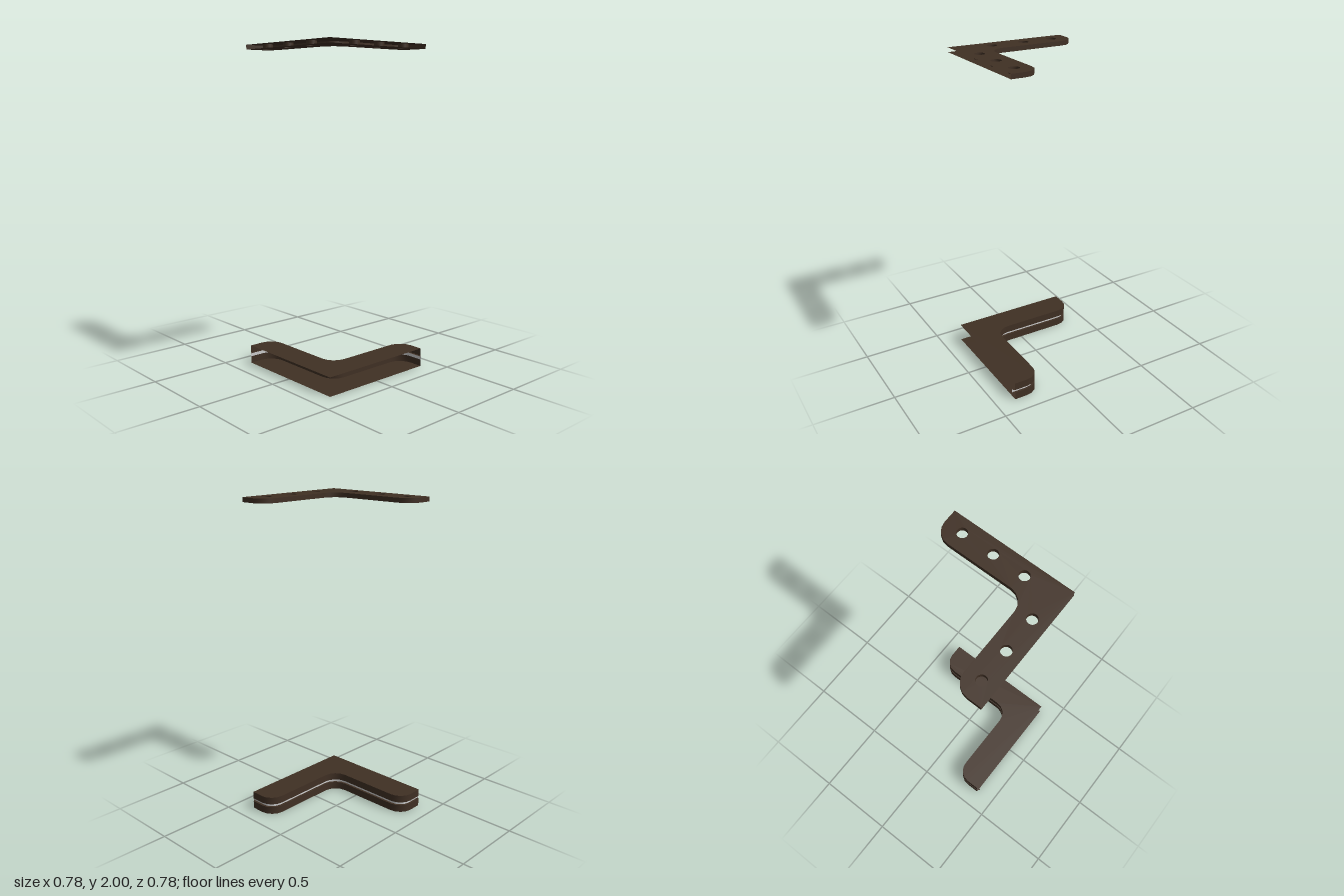
import * as THREE from 'three';

const brown = new THREE.MeshStandardMaterial({ color: 0x403024, side: THREE.DoubleSide });
const grey = new THREE.MeshStandardMaterial({ color: 0xcccccc, side: THREE.DoubleSide });

const TIP = -0.39, INNER = 0.198, OUTER = 0.374, R = 0.092, GROOVE = 0.014;
const HOLES = [[-0.28, 0.292], [-0.085, 0.292], [0.127, 0.292], [0.294, 0.12], [0.294, -0.078], [0.294, -0.278]];
const HOLE_R = 0.031;

// Inner edge of the L as [x, z] points, from one tip to the other, inset by d
function edgePath(d = 0) {
  const pts = [[TIP + d, OUTER + d]];
  const arc = (cx, cz, r, from, to) => {
    for (let i = 0; i <= 4; i++) {
      const a = from + (to - from) * i / 4;
      pts.push([cx + r * Math.cos(a), cz + r * Math.sin(a)]);
    }
  };
  const H = Math.PI / 2;
  arc(TIP + R, INNER + R, R - d, 2 * H, 3 * H);   // rounded tip of the left arm
  arc(INNER - R, INNER - R, R + d, H, 0);         // concave inside corner
  arc(INNER + R, TIP + R, R - d, 2 * H, 3 * H);   // rounded tip of the back arm
  pts.push([OUTER + d, TIP + d]);
  return pts;
}

// Band of quads between two edge paths, each at its own height
function band(pathA, yA, pathB, yB) {
  const pos = [], idx = [];
  pathA.forEach(([x, z], i) => {
    pos.push(x, yA, z, pathB[i][0], yB, pathB[i][1]);
    if (i > 0) {
      const a = 2 * (i - 1);
      idx.push(a, a + 1, a + 2, a + 2, a + 1, a + 3);
    }
  });
  const geo = new THREE.BufferGeometry();
  geo.setAttribute('position', new THREE.Float32BufferAttribute(pos, 3));
  geo.setIndex(idx);
  geo.computeVertexNormals();
  return geo;
}

// Flat L-shaped face, looking up (sign 1) or down (sign -1)
function face(y, sign, holes) {
  const outline = [...edgePath(), [OUTER, OUTER]];
  const shape = new THREE.Shape(outline.map(([x, z]) => new THREE.Vector2(x, -sign * z)));
  for (const [x, z] of holes) {
    shape.holes.push(new THREE.Path().absarc(x, -sign * z, HOLE_R, 0, Math.PI * 2, true));
  }
  return new THREE.ShapeGeometry(shape, 12).rotateX(-sign * Math.PI / 2).translate(0, y, 0);
}

function add(group, name, geometry, material = brown) {
  const mesh = new THREE.Mesh(geometry, material);
  mesh.name = name;
  group.add(mesh);
}

export function createModel() {
  const model = new THREE.Group();
  const outer = edgePath(), inset = edgePath(GROOVE);

  // Lower body: grooved inner wall, with the two straight outer sides left open
  const body = new THREE.Group();
  body.name = 'lowerBody';
  add(body, 'bodyBottom', face(0, -1, []));
  add(body, 'bodyTop', face(0.115, 1, []));
  add(body, 'lowerWall', band(outer, 0, outer, 0.048));
  add(body, 'grooveFloor', band(outer, 0.048, inset, 0.048));
  add(body, 'grooveStrip', band(inset, 0.048, inset, 0.068), grey);
  add(body, 'grooveCeiling', band(inset, 0.068, outer, 0.068));
  add(body, 'upperWall', band(outer, 0.068, outer, 0.115));

  // Upper plate: thin, pierced by six holes, also open on the outer sides
  const plate = new THREE.Group();
  plate.name = 'upperPlate';
  const low = 1.972, high = 2;
  add(plate, 'plateBottom', face(low, -1, HOLES));
  add(plate, 'plateTop', face(high, 1, HOLES));
  add(plate, 'plateWall', band(outer, low, outer, high));
  for (const [x, z] of HOLES) {
    const wall = new THREE.CylinderGeometry(HOLE_R, HOLE_R, high - low, 24, 1, true);
    add(plate, 'holeWall', wall.translate(x, (low + high) / 2, z));
  }

  model.add(body, plate);
  return model;
}
